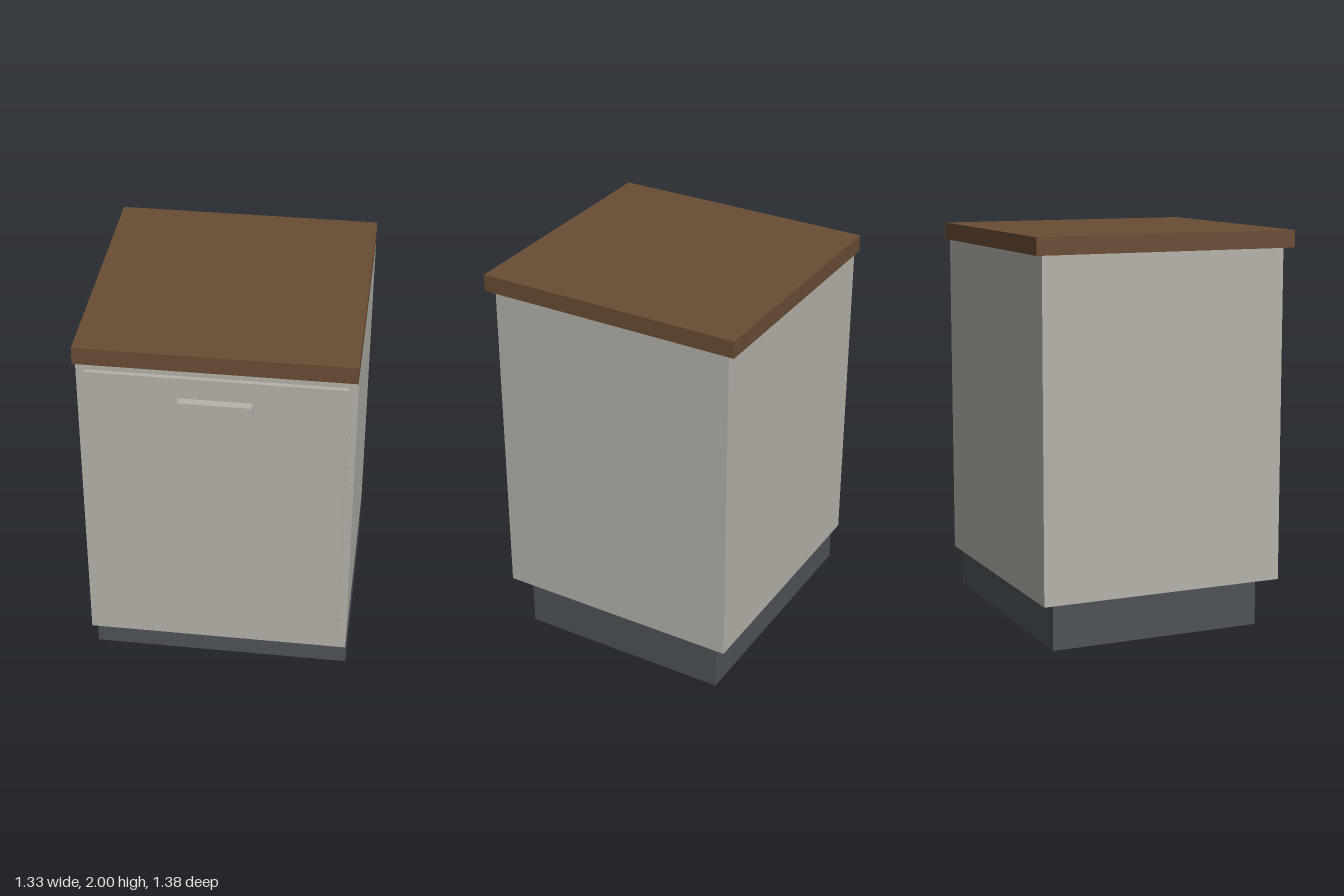
import * as THREE from 'three';

const paint = new THREE.MeshStandardMaterial({ color: 0xb5b2aa });
paint.name = 'warm grey paint';
const wood = new THREE.MeshStandardMaterial({ color: 0x694c34 });
wood.name = 'brown wood';
const dark = new THREE.MeshStandardMaterial({ color: 0x4e5358 });
dark.name = 'dark grey plinth';

// Box centred on x, given its width and its y and z ranges
function slab(name, material, width, [y0, y1], [z0, z1]) {
  const mesh = new THREE.Mesh(new THREE.BoxGeometry(width, y1 - y0, z1 - z0), material);
  mesh.position.set(0, (y0 + y1) / 2, (z0 + z1) / 2);
  mesh.name = name;
  return mesh;
}

export function createModel() {
  const cabinet = new THREE.Group();
  cabinet.name = 'baseCabinet';
  cabinet.add(
    // recessed plinth, carcass and overhanging worktop
    slab('plinth', dark, 1.333, [0, 0.222], [-0.618, 0.492]),
    slab('carcass', paint, 1.333, [0.222, 1.913], [-0.662, 0.624]),
    slab('worktop', wood, 1.333, [1.913, 2], [-0.688, 0.688]),
    // door panel and bar handle
    slab('door', paint, 1.244, [0.289, 1.844], [0.624, 0.646]),
    slab('handle', paint, 0.356, [1.689, 1.733], [0.646, 0.688])
  );
  return cabinet;
}
